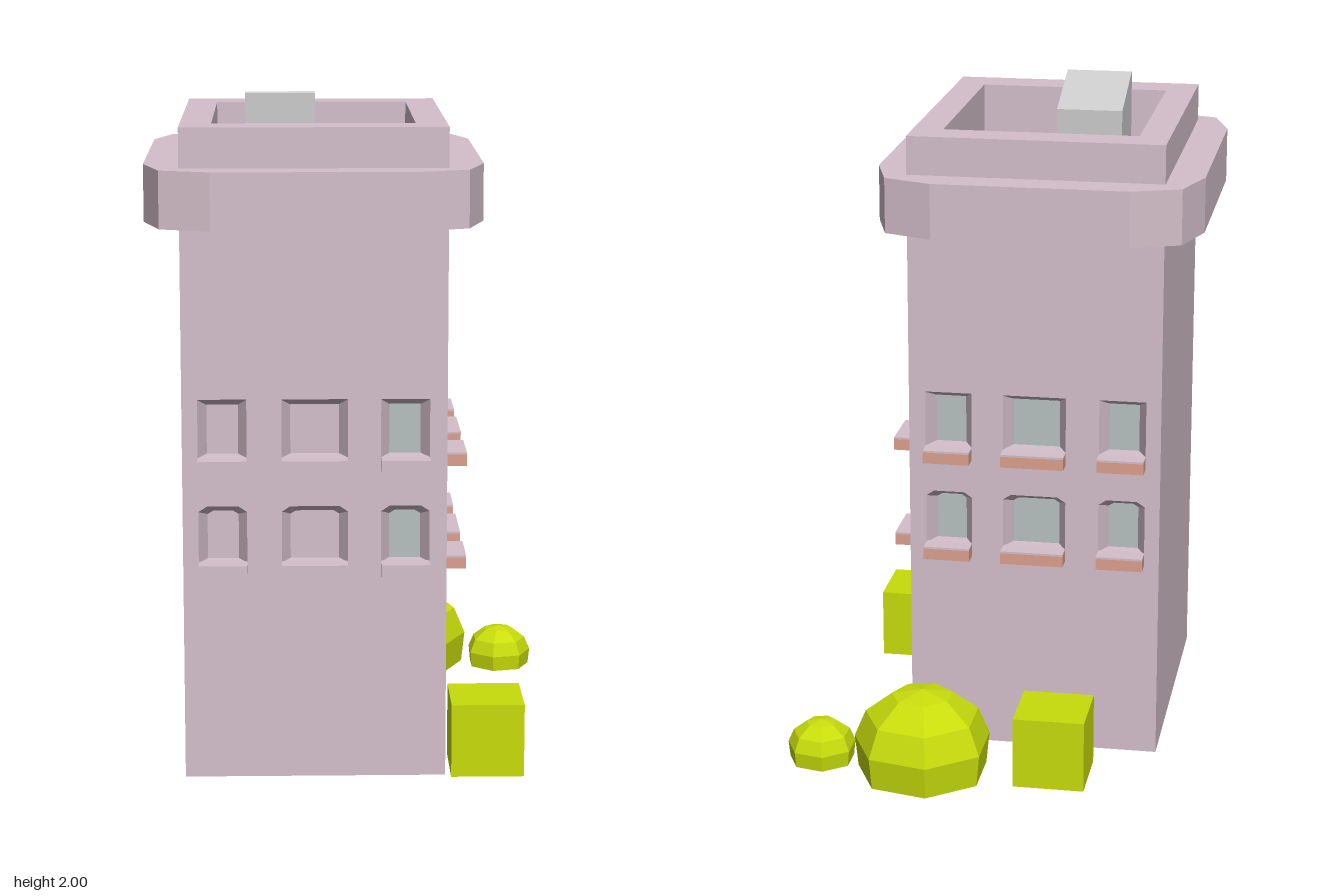
import * as THREE from 'three';

const mat = (color) => new THREE.MeshStandardMaterial({ color, flatShading: true, side: THREE.DoubleSide });
const pink = mat(0xd4bfca), orange = mat(0xdca08e), glass = mat(0xb8c0c0), grey = mat(0xcccccc), green = mat(0xc8dc0c);

// Body limits
const X0 = -0.50, X1 = 0.26, Z0 = -0.285, Z1 = 0.63, Y0 = 0.02, Y1 = 1.92;

const pts = (list) => list.map(([x, y]) => new THREE.Vector2(x, y));
const rect = (a, b, c, d) => pts([[a, c], [b, c], [b, d], [a, d]]);
// Rectangle with the top corners cut by cx, cy (counter-clockwise)
const cutRect = (a, b, c, d, cx, cy) =>
  pts([[a, c], [b, c], [b, d - cy], [b - cx, d], [a + cx, d], [a, d - cy]]);

function add(parent, name, geometry, material) {
  const mesh = new THREE.Mesh(geometry, material);
  mesh.name = name;
  parent.add(mesh);
  return mesh;
}

function box(parent, name, x0, x1, y0, y1, z0, z1, material) {
  add(parent, name, new THREE.BoxGeometry(x1 - x0, y1 - y0, z1 - z0), material)
    .position.set((x0 + x1) / 2, (y0 + y1) / 2, (z0 + z1) / 2);
}

// Sloping sides of a recess, from the outline on the wall to the pane
function reveal(outer, inner, depth) {
  const v = [];
  outer.forEach((a, i) => {
    const j = (i + 1) % outer.length, b = outer[j], c = inner[j], d = inner[i];
    v.push(a.x, a.y, 0, b.x, b.y, 0, c.x, c.y, -depth);
    v.push(a.x, a.y, 0, c.x, c.y, -depth, d.x, d.y, -depth);
  });
  const g = new THREE.BufferGeometry();
  g.setAttribute('position', new THREE.Float32BufferAttribute(v, 3));
  g.computeVertexNormals();
  return g;
}

// Flat wall facing local +z with recessed openings
function wall(parent, name, outline, openings = []) {
  const group = new THREE.Group();
  group.name = name;
  const shape = new THREE.Shape(outline);
  for (const o of openings) {
    shape.holes.push(new THREE.Path(o.outer));
    add(group, o.name + 'Reveal', reveal(o.outer, o.inner, o.depth), pink);
    add(group, o.name, new THREE.ShapeGeometry(new THREE.Shape(o.inner)), o.material)
      .position.z = -o.depth;
  }
  add(group, name + 'Surface', new THREE.ShapeGeometry(shape), pink);
  parent.add(group);
  return group;
}

// Two rows of windows; the lower row has softened top corners
function windows(columns, paneMaterial) {
  const list = [];
  [[0.975, 1.145, 0.001], [0.665, 0.832, 0.016]].forEach(([y0, y1, cut]) => {
    columns.forEach(([a, b], i) => list.push({
      name: 'windowPane',
      outer: cutRect(a, b, y0, y1, cut * 1.5, cut),
      inner: cutRect(a + 0.025, b - 0.025, y0 + 0.002, y1 - 0.024, cut, cut * 0.6),
      depth: 0.05,
      material: paneMaterial(i),
    }));
  });
  return list;
}

// Window sills with a pink top slab
function sills(group, columns, reach, material) {
  for (const y of [0.935, 0.628]) {
    for (const [a, b] of columns) {
      box(group, 'sill', a, b, y, y + 0.034, -0.01, reach, material);
      box(group, 'sillTop', a, b, y + 0.034, y + 0.04, -0.01, reach, pink);
    }
  }
}

// Faceted dome bush with seven sides
function bush(parent, name, x, z, r, h) {
  const profile = pts([[0, 0], [0.95, 0], [1, 0.37], [0.83, 0.69], [0.44, 0.93], [0, 1]])
    .map((p) => new THREE.Vector2(p.x * r, p.y * h));
  add(parent, name, new THREE.LatheGeometry(profile, 7, Math.PI / 2), green).position.set(x, Y0, z);
}

export function createModel() {
  const model = new THREE.Group();
  model.name = 'apartmentBuilding';

  // Walls: the front and back share columns, the side has its own and a door
  const frontCols = [[-0.455, -0.315], [-0.215, -0.025], [0.07, 0.21]];
  const backCols = frontCols.map(([a, b]) => [-b, -a]);
  const sideCols = [[-0.57, -0.40], [-0.285, -0.06], [0.055, 0.225]];

  const front = wall(model, 'frontWall', rect(X0, X1, Y0, Y1), windows(frontCols, (i) => (i < 2 ? pink : glass)));
  front.position.z = Z1;
  sills(front, frontCols, 0.05, pink);

  const back = wall(model, 'backWall', rect(-X1, -X0, Y0, Y1), windows(backCols, () => glass));
  back.rotation.y = Math.PI;
  back.position.z = Z0;
  sills(back, backCols, 0.05, orange);

  const door = {
    name: 'door',
    outer: cutRect(-0.345, -0.06, Y0 + 0.002, 0.365, 0.001, 0.001),
    inner: cutRect(-0.335, -0.07, Y0 + 0.002, 0.355, 0.035, 0.05),
    depth: 0.08,
    material: orange,
  };
  const side = wall(model, 'doorWall', rect(-Z1, -Z0, Y0, Y1), [...windows(sideCols, () => glass), door]);
  side.rotation.y = Math.PI / 2;
  side.position.x = X1;
  sills(side, sideCols, 0.06, orange);

  const plain = wall(model, 'plainWall', rect(Z0, Z1, Y0, Y1));
  plain.rotation.y = -Math.PI / 2;
  plain.position.x = X0;

  const base = wall(model, 'base', rect(X0, X1, Z0, Z1));
  base.rotation.x = Math.PI / 2;
  base.position.y = Y0;

  // Parapet with sunken roof
  const well = rect(-0.41, 0.17, -0.51, 0.175);
  const roof = wall(model, 'parapet', rect(X0, X1, -Z1, -Z0),
    [{ name: 'roofFloor', outer: well, inner: well, depth: 0.16, material: pink }]);
  roof.rotation.x = -Math.PI / 2;
  roof.position.y = Y1;

  // Cornice ring with softened corners
  const ring = new THREE.Shape(pts([
    [-0.605, -0.51], [-0.555, -0.675], [-0.41, -0.725], [0.17, -0.725], [0.315, -0.675], [0.365, -0.51],
    [0.365, 0.175], [0.315, 0.335], [0.17, 0.39], [-0.41, 0.39], [-0.555, 0.335], [-0.605, 0.175],
  ]));
  ring.holes.push(new THREE.Path(rect(X0, X1, -Z1, -Z0)));
  const cornice = add(model, 'cornice', new THREE.ExtrudeGeometry(ring, { depth: 0.165, bevelEnabled: false }), pink);
  cornice.rotation.x = -Math.PI / 2;
  cornice.position.y = 1.64;

  // Slanted roof hatch, profile drawn in z and y
  const hatchShape = new THREE.Shape(pts([[-0.395, 1.76], [-0.17, 1.76], [-0.17, 1.92], [-0.39, 2.0], [-0.395, 1.995]]));
  const hatch = add(model, 'roofHatch', new THREE.ExtrudeGeometry(hatchShape, { depth: 0.2, bevelEnabled: false }), grey);
  hatch.rotation.y = Math.PI / 2;
  hatch.position.x = -0.315;

  // Hedges and bushes
  box(model, 'sideHedge', 0.28, 0.495, 0, 0.22, 0.378, 0.593, green);
  box(model, 'backHedge', -0.315, -0.10, 0, 0.22, -0.555, -0.34, green);
  bush(model, 'largeBush', 0.18, -0.525, 0.21, 0.265);
  bush(model, 'smallBush', 0.5, -0.495, 0.105, 0.13);

  return model;
}
